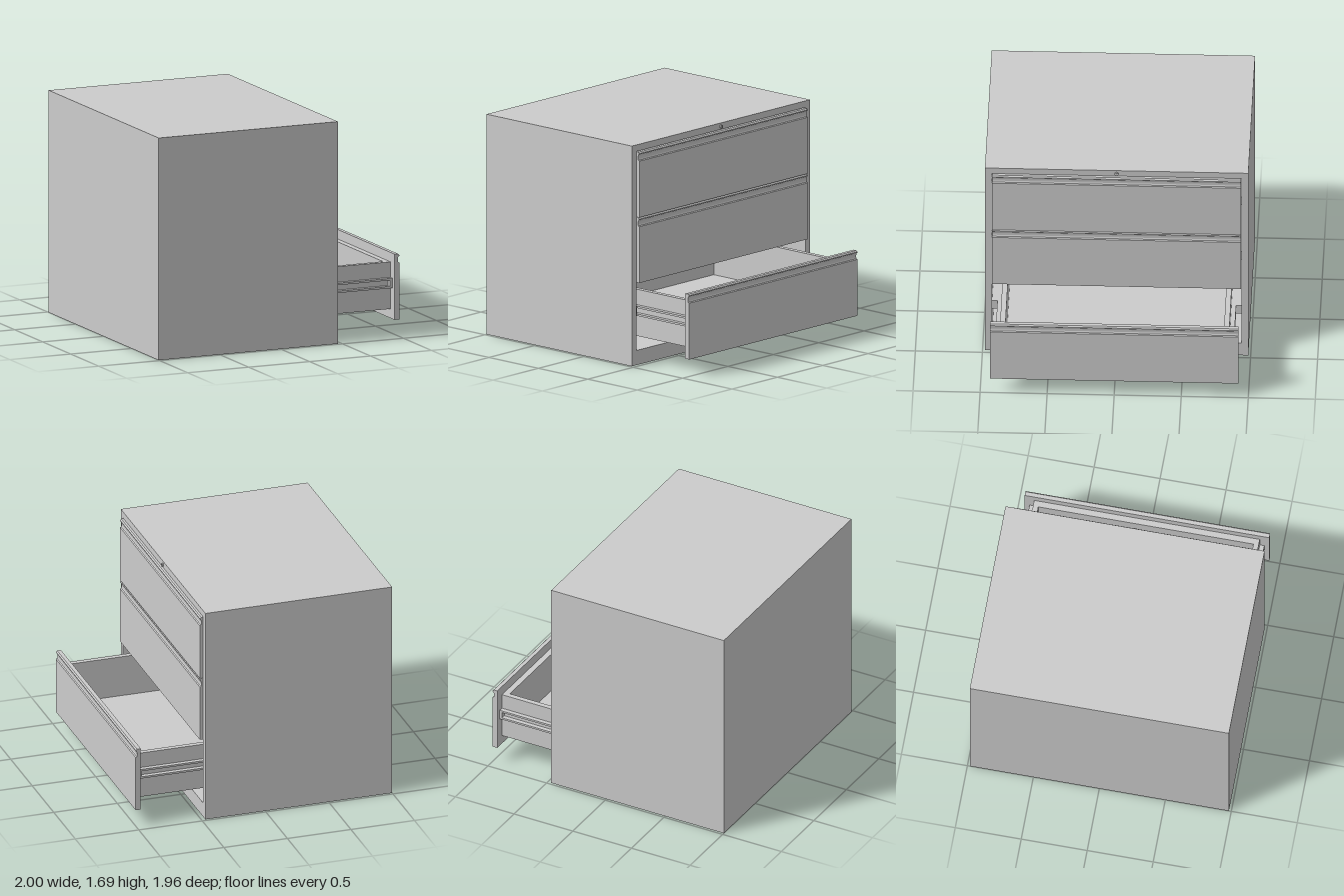
import * as THREE from 'three';

const material = new THREE.MeshStandardMaterial({ color: 0xcccccc, flatShading: true });

function add(parent, name, geometry) {
  const mesh = new THREE.Mesh(geometry, material);
  mesh.name = name;
  parent.add(mesh);
  return mesh;
}

// Box given by its minimum and maximum corners
function block(parent, name, [x0, y0, z0], [x1, y1, z1]) {
  const g = new THREE.BoxGeometry(x1 - x0, y1 - y0, z1 - z0);
  g.translate((x0 + x1) / 2, (y0 + y1) / 2, (z0 + z1) / 2);
  return add(parent, name, g);
}

function rectangle(x0, y0, x1, y1) {
  return new THREE.Shape([[x0, y0], [x1, y0], [x1, y1], [x0, y1]].map(p => new THREE.Vector2(...p)));
}

function extrude(shape, depth) {
  return new THREE.ExtrudeGeometry(shape, { depth, bevelEnabled: false });
}

const FACE = 0.47;   // cabinet front plane
const PULL = 0.505;  // travel of the open drawer

// Drawer in its closed position, local y = 0 at the bottom of its face
function makeDrawer(name) {
  const drawer = new THREE.Group();
  drawer.name = name;

  // Face panel with a finger groove below the top lip
  const profile = [
    [0.455, 0], [0.495, 0], [0.495, 0.432], [0.486, 0.437], [0.482, 0.448],
    [0.483, 0.466], [0.487, 0.48], [0.494, 0.483], [0.494, 0.49], [0.485, 0.5], [0.455, 0.5],
  ].map(p => new THREE.Vector2(...p));
  const face = extrude(new THREE.Shape(profile), 1.854);
  face.translate(0, 0, -0.927);
  add(drawer, 'drawerFace', face);

  // Open tray
  const back = -0.9, front = 0.455, low = 0.07, high = 0.428;
  block(drawer, 'trayFloor', [back, low, -0.855], [front, low + 0.04, 0.855]);
  block(drawer, 'trayFront', [front - 0.045, low + 0.04, -0.815], [front, high, 0.815]);
  block(drawer, 'trayBack', [back, low + 0.04, -0.815], [back + 0.045, high, 0.815]);
  for (const s of [-1, 1]) {
    const zs = [s * 0.815, s * 0.855].sort((a, b) => a - b);
    block(drawer, 'traySide', [back, low + 0.04, zs[0]], [front, high, zs[1]]);

    // Slide rail with a recessed channel
    const rail = rectangle(back, 0.235, front, 0.31);
    rail.holes.push(rectangle(back + 0.02, 0.25, front - 0.02, 0.295));
    const g = extrude(rail, 0.035);
    g.translate(0, 0, s > 0 ? 0.855 : -0.89);
    add(drawer, 'slideRail', g);
  }
  return drawer;
}

export function createModel() {
  const model = new THREE.Group();
  model.name = 'filingCabinet';

  // Hollow case, open at the front (+x)
  const outline = rectangle(-0.982, 0, 0.982, 1.69);
  outline.holes.push(rectangle(-0.93, 0.112, 0.93, 1.64));
  const shell = extrude(outline, FACE + 0.95);
  shell.rotateY(Math.PI / 2);
  shell.translate(-0.95, 0, 0);
  add(model, 'caseShell', shell);
  block(model, 'caseBack', [-1, 0, -0.982], [-0.95, 1.69, 0.982]);

  // Three drawers, the lowest one pulled out
  ['bottomDrawer', 'middleDrawer', 'topDrawer'].forEach((name, i) => {
    const drawer = makeDrawer(name);
    drawer.position.set(i === 0 ? PULL : 0, 0.13 + i * 0.503, 0);
    model.add(drawer);

    // Fixed slides inside the case
    for (const s of [-1, 1]) {
      const zs = [s * 0.89, s * 0.93].sort((a, b) => a - b);
      const y = drawer.position.y;
      block(model, 'caseSlide', [-0.94, y + 0.235, zs[0]], [0.44, y + 0.31, zs[1]]);
    }
  });

  // Lock above the top drawer
  const lock = new THREE.CylinderGeometry(0.014, 0.014, 0.012, 24);
  lock.rotateZ(-Math.PI / 2);
  lock.translate(FACE + 0.004, 1.662, 0);
  add(model, 'lock', lock);
  block(model, 'keySlot', [FACE + 0.009, 1.654, -0.002], [FACE + 0.012, 1.67, 0.002]);

  return model;
}
